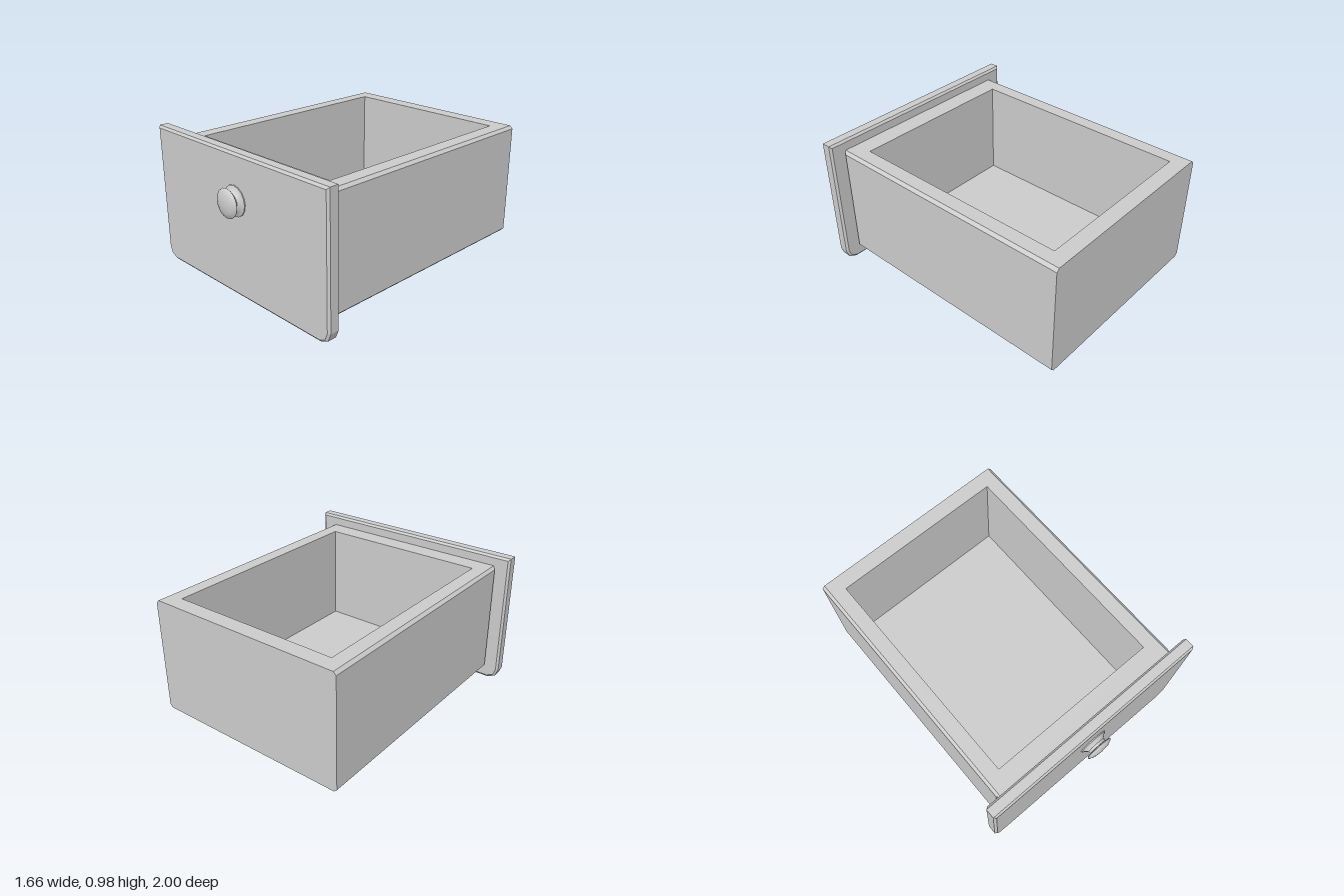
import * as THREE from 'three';
import { toCreasedNormals } from 'three/addons/utils/BufferGeometryUtils.js';

const material = new THREE.MeshStandardMaterial({ color: 0xcccccc });

function part(name, geometry) {
  const mesh = new THREE.Mesh(geometry, material);
  mesh.name = name;
  return mesh;
}

// Open-topped box: chamfered along the sides and front uprights
function boxGeometry() {
  const X = 0.73, xi = 0.71;           // side face, chamfer inner edge
  const y0 = 0.09, y1 = 0.905, c = 0.02;
  const back = -1, front = 0.825, frontSide = 0.805;
  const positions = [];
  const quad = (a, b, d, e) => positions.push(...a, ...b, ...d, ...a, ...d, ...e);
  const loft = (P, Q) => P.forEach((p, i) => {
    const j = (i + 1) % P.length;
    quad(p, P[j], Q[j], Q[i]);
  });
  const rect = (x, y, zFront, zBack) =>
    [[x, y, zFront], [x, y, zBack], [-x, y, zBack], [-x, y, zFront]];

  // rim, inner walls and floor
  const innerTop = rect(0.612, y1, 0.69, -0.89);
  const innerBottom = rect(0.612, 0.2, 0.69, -0.89);
  loft(rect(xi, y1, front, back), innerTop);
  loft(innerTop, innerBottom);
  quad(...innerBottom);

  // underside, front and back
  quad(...rect(xi, y0, front, back).reverse());
  quad([-xi, y0, front], [xi, y0, front], [xi, y1, front], [-xi, y1, front]);
  quad([xi, y0, back], [-xi, y0, back], [-xi, y1, back], [xi, y1, back]);

  // each side with its chamfers, mirrored
  for (const s of [1, -1]) {
    const side = (...q) => {
      const pts = q.map(([x, y, z]) => [s * x, y, z]);
      quad(...(s > 0 ? pts : pts.reverse()));
    };
    const lowBack = [X, y0 + c, back], highBack = [X, y1 - c, back];
    const lowFront = [X, y0 + c, frontSide], highFront = [X, y1 - c, frontSide];
    const bottomBack = [xi, y0, back], topBack = [xi, y1, back];
    const bottomFront = [xi, y0, front], topFront = [xi, y1, front];
    side(lowBack, highBack, highFront, lowFront);
    side(highBack, topBack, topFront, highFront);
    side(bottomBack, lowBack, lowFront, bottomFront);
    side(lowFront, highFront, topFront, bottomFront);
    side(bottomBack, topBack, highBack, lowBack);
  }

  const geometry = new THREE.BufferGeometry();
  geometry.setAttribute('position', new THREE.Float32BufferAttribute(positions, 3));
  geometry.computeVertexNormals();
  return geometry;
}

// Front panel: bevelled board with clipped lower corners
function panelGeometry() {
  const right = [[0.75, 0], [0.808, 0.027], [0.83, 0.083], [0.83, 0.98]];
  const left = right.map(([x, y]) => [-x, y]).reverse();
  const shape = new THREE.Shape([...right, ...left].map(([x, y]) => new THREE.Vector2(x, y)));
  const bevel = 0.013;
  const geometry = new THREE.ExtrudeGeometry(shape, {
    depth: 0.088 - 2 * bevel,
    bevelEnabled: true,
    bevelThickness: bevel,
    bevelSize: 0.016,
    bevelOffset: -0.016,
    bevelSegments: 1,
  });
  return geometry.translate(0, 0, 0.824 + bevel);
}

// Turned knob: base flange, neck and domed cap
function knobGeometry() {
  const profile = [
    [0.104, 0.905], [0.104, 0.919], [0.088, 0.925], [0.074, 0.937], [0.067, 0.945],
    [0.067, 0.962], [0.094, 0.966], [0.1, 0.972], [0.095, 0.98], [0.06, 0.994], [0, 1],
  ].map(([r, h]) => new THREE.Vector2(r, h));
  const geometry = new THREE.LatheGeometry(profile, 16);
  geometry.rotateX(Math.PI / 2).translate(0, 0.667, 0);
  return toCreasedNormals(geometry, 0.7);
}

export function createModel() {
  const drawer = new THREE.Group();
  drawer.name = 'drawer';
  drawer.add(
    part('drawerBox', boxGeometry()),
    part('frontPanel', panelGeometry()),
    part('knob', knobGeometry()),
  );
  return drawer;
}
